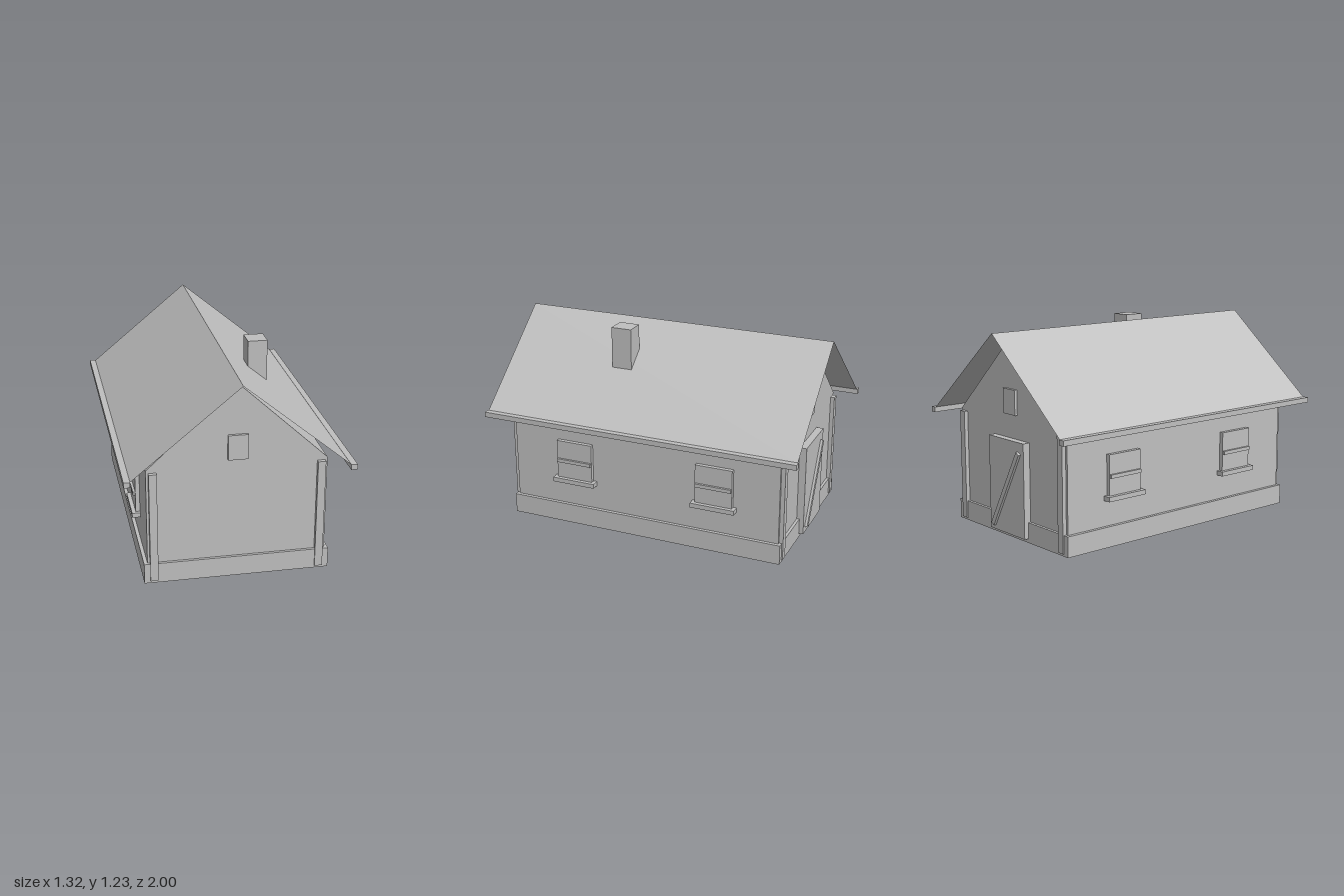
import * as THREE from 'three';

export function createModel() {
  const house = new THREE.Group();
  house.name = 'house';
  const grey = new THREE.MeshStandardMaterial({ color: 0xbfbfbf, side: THREE.DoubleSide });
  grey.name = 'plain grey';

  const add = (name, geometry) => {
    const mesh = new THREE.Mesh(geometry, grey);
    mesh.name = name;
    house.add(mesh);
    return mesh;
  };
  // Box given by its limits on each axis
  const box = (name, x0, x1, y0, y1, z0, z1) => {
    const mesh = add(name, new THREE.BoxGeometry(Math.abs(x1 - x0), y1 - y0, Math.abs(z1 - z0)));
    mesh.position.set((x0 + x1) / 2, (y0 + y1) / 2, (z0 + z1) / 2);
    return mesh;
  };

  // Walls with gable ends
  const WX = 0.524, WZ = 0.867;
  const gable = new THREE.Shape([
    [-WX, 0.01], [WX, 0.01], [WX, 0.705], [0, 1.19], [-WX, 0.705],
  ].map(([x, y]) => new THREE.Vector2(x, y)));
  const walls = new THREE.ExtrudeGeometry(gable, { depth: WZ * 2, bevelEnabled: false });
  walls.translate(0, 0, -WZ);
  add('walls', walls);

  // Stone base
  box('base', -0.545, 0.545, 0, 0.123, -0.884, 0.884);

  // Thin roof slopes with a fascia board along each eave
  const RX = 0.625, RZ = 0.995, EAVE = 0.707, RIDGE = 1.222;
  for (const s of [-1, 1]) {
    const slope = new THREE.PlaneGeometry(Math.hypot(RX, RIDGE - EAVE), RZ * 2);
    slope.rotateX(-Math.PI / 2);
    slope.rotateZ(-s * Math.atan2(RIDGE - EAVE, RX));
    slope.translate(s * RX / 2, (RIDGE + EAVE) / 2, 0);
    add('roofSlope', slope);
    box('fascia', s * RX, s * 0.662, 0.676, 0.708, -1, 1);
  }

  // Chimney
  box('chimney', 0.177, 0.295, 0.86, 1.232, 0.175, 0.303);

  // Corner posts and gable vents at both ends
  for (const e of [-1, 1]) {
    for (const s of [-1, 1]) {
      box('cornerPost', s * 0.464, s * 0.51, 0.015, 0.69, e * 0.85, e * 0.892);
    }
    box('gableVent', -0.058, 0.058, 0.739, 0.889, e * 0.85, e * 0.884);
  }

  // Side windows: pane, middle bar and sill
  for (const s of [-1, 1]) {
    for (const z of [-0.465, 0.451]) {
      box('window', s * 0.51, s * 0.549, 0.3, 0.548, z - 0.117, z + 0.117);
      box('windowBar', s * 0.51, s * 0.563, 0.41, 0.432, z - 0.113, z + 0.113);
      box('windowSill', s * 0.51, s * 0.573, 0.278, 0.306, z - 0.139, z + 0.139);
    }
  }

  // Back door with its diagonal brace
  box('door', -0.172, 0.172, 0.025, 0.595, -0.911, -0.85);
  const brace = add('doorBrace', new THREE.BoxGeometry(0.03, 0.544, 0.03));
  brace.position.set(0, 0.295, -0.912);
  brace.rotation.z = 0.508;

  return house;
}
